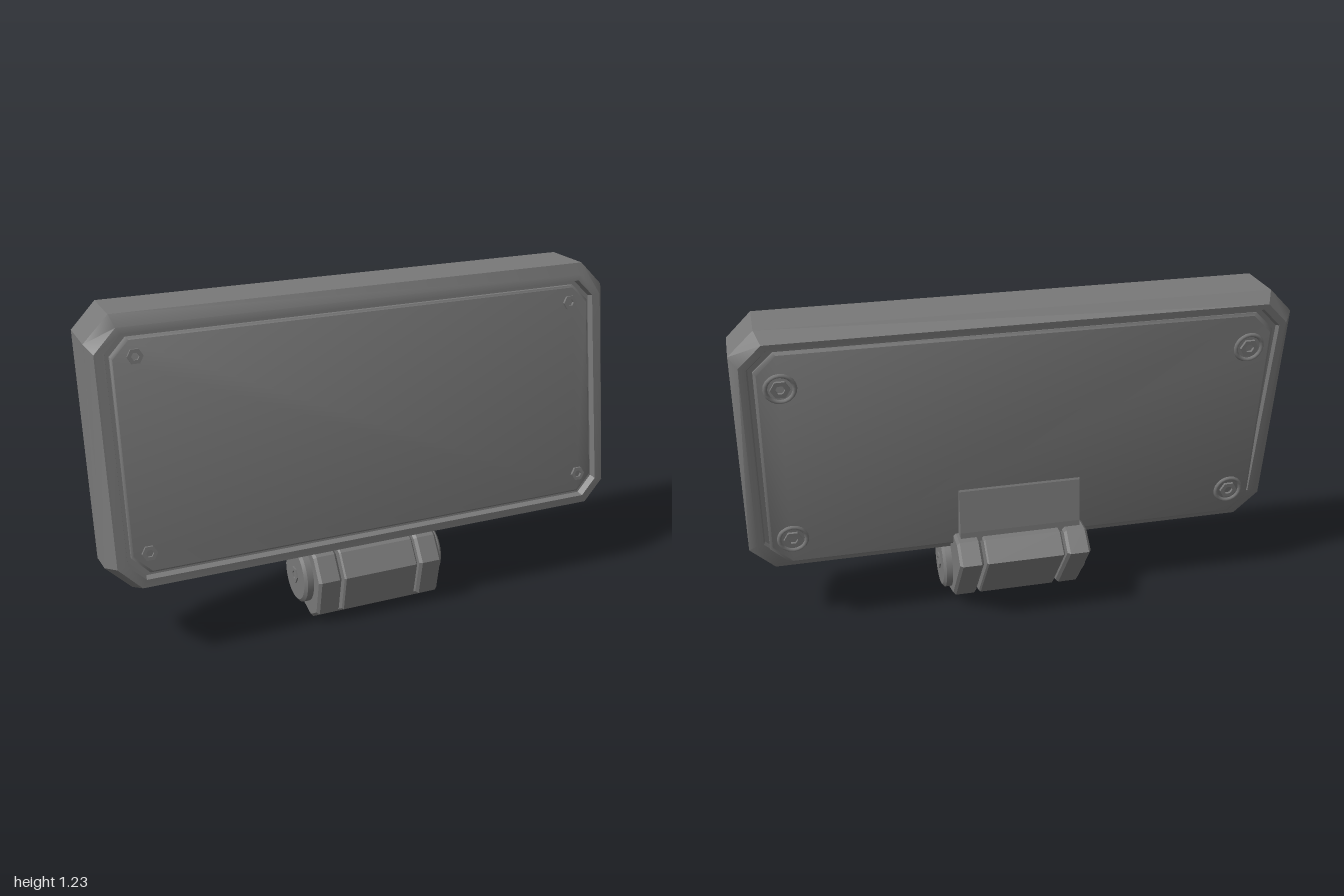
import * as THREE from 'three';
import { toCreasedNormals } from 'three/addons/utils/BufferGeometryUtils.js';

const darkGrey = new THREE.MeshStandardMaterial({ color: 0x787878 });
darkGrey.name = 'dark grey';

// Leaning front face and back plate: z as a function of height
const frontZ = (y) => 0.2 - 0.15 * (y - 0.36);
const backZ = (y) => -0.07 - 0.122 * (y - 0.29);

// Cut-corner rectangle, anticlockwise from the front; z runs from bottom to top
function ring(hw, yb, zb, yt, zt, cut) {
  const z = (y) => zb + ((zt - zb) * (y - yb)) / (yt - yb);
  return [
    [hw - cut, yb], [hw, yb + cut], [hw, yt - cut], [hw - cut, yt],
    [cut - hw, yt], [-hw, yt - cut], [-hw, yb + cut], [cut - hw, yb],
  ].map(([x, y]) => new THREE.Vector3(x, y, z(y)));
}

// Closed skin over rings listed from front to back
function loft(rings) {
  const pts = [];
  const n = rings[0].length;
  const first = rings[0], last = rings[rings.length - 1];
  for (let i = 0; i < rings.length - 1; i++) {
    for (let j = 0; j < n; j++) {
      const k = (j + 1) % n;
      const a = rings[i][j], b = rings[i][k], c = rings[i + 1][k], d = rings[i + 1][j];
      pts.push(a, d, c, a, c, b);
    }
  }
  for (let j = 1; j < n - 1; j++) {
    pts.push(first[0], first[j], first[j + 1], last[0], last[j + 1], last[j]);
  }
  const geo = new THREE.BufferGeometry().setFromPoints(pts);
  geo.computeVertexNormals();
  return toCreasedNormals(geo, 0.6);
}

function add(parent, name, geo) {
  const mesh = new THREE.Mesh(geo, darkGrey);
  mesh.name = name;
  parent.add(mesh);
  return mesh;
}

// Side profile of [z, y] points, extruded along x and centred on x
function profile(points, width, x, bevel = 0) {
  const shape = new THREE.Shape(points.map(([z, y]) => new THREE.Vector2(z, y)));
  const depth = width - 2 * bevel;
  const geo = new THREE.ExtrudeGeometry(shape, {
    depth, bevelEnabled: bevel > 0, bevelSize: bevel, bevelThickness: bevel,
    bevelOffset: -bevel, bevelSegments: 1,
  });
  return geo.translate(0, 0, -depth / 2).rotateY(-Math.PI / 2).translate(x, 0, 0);
}

// Hexagonal socket screw facing +z, with an optional round collar
function screw(name, r, height, collar) {
  const g = new THREE.Group();
  g.name = name;
  const outline = new THREE.Shape();
  const hole = new THREE.Path();
  for (let i = 0; i < 6; i++) {
    const a = (i * Math.PI) / 3;
    const step = i ? 'lineTo' : 'moveTo';
    outline[step](r * Math.cos(a), r * Math.sin(a));
    hole[step](r * 0.5 * Math.cos(a), r * 0.5 * Math.sin(a));
  }
  outline.holes.push(hole);
  add(g, 'screwHead', new THREE.ExtrudeGeometry(outline, { depth: height, bevelEnabled: false }));
  if (collar) add(g, 'screwCollar', new THREE.TorusGeometry(collar, 0.008, 6, 20));
  return g;
}

export function createModel() {
  const model = new THREE.Group();
  model.name = 'tiltingPanel';

  // Chamfered frame, thicker at the top, with a groove around the front
  add(model, 'frame', loft([
    ring(0.935, 0.335, frontZ(0.335) - 0.025, 1.165, frontZ(1.165) - 0.025, 0.06),
    ring(0.94, 0.33, frontZ(0.33), 1.17, frontZ(1.17), 0.06),
    ring(0.975, 0.3, 0.203, 1.19, 0.075, 0.08),
    ring(1, 0.258, 0.1, 1.23, 0.045, 0.09),
    ring(1, 0.245, -0.005, 1.23, -0.15, 0.09),
    ring(0.97, 0.28, -0.025, 1.19, -0.19, 0.08),
    ring(0.945, 0.295, -0.03, 1.17, -0.186, 0.07),
    ring(0.94, 0.3, -0.015, 1.165, -0.165, 0.07),
  ]));

  // Front plate inside the groove
  const plateRing = (hw, yb, yt, off) =>
    ring(hw, yb, frontZ(yb) + off, yt, frontZ(yt) + off, 0.06);
  add(model, 'frontPlate', loft([
    plateRing(0.915, 0.355, 1.145, -0.006),
    plateRing(0.922, 0.348, 1.152, -0.012),
    plateRing(0.922, 0.348, 1.152, -0.04),
  ]));

  // Back plate, standing proud towards the bottom
  add(model, 'backPlate', loft([
    ring(0.925, 0.29, 0, 1.155, -0.14, 0.07),
    ring(0.925, 0.29, backZ(0.29) + 0.008, 1.155, backZ(1.155) + 0.008, 0.07),
    ring(0.915, 0.3, backZ(0.3), 1.145, backZ(1.145), 0.07),
  ]));

  // Corner screws on both faces
  for (const s of [-1, 1]) {
    for (const [x, y] of [[0.84, 1.09], [0.86, 0.42]]) {
      const front = screw('frontScrew', 0.028, 0.012);
      front.position.set(s * x, y, frontZ(y) - 0.008);
      front.rotation.x = -0.149;
      model.add(front);
    }
    for (const y of [1.02, 0.4]) {
      const back = screw('backScrew', 0.034, 0.01, 0.05);
      back.position.set(s * 0.84, y, backZ(y));
      back.rotation.x = Math.PI - 0.122;
      model.add(back);
    }
  }

  // Hinge: a centre block between two knuckles
  const hinge = new THREE.Group();
  hinge.name = 'hinge';
  model.add(hinge);
  const side = [
    [0.22, 0.183], [0.19, 0.04], [0.125, 0], [-0.05, 0.05], [-0.22, 0.275],
    [-0.15, 0.338], [-0.06, 0.338], [0, 0.29], [0.135, 0.28], [0.165, 0.265],
  ];
  add(hinge, 'hingeCentre', profile(side, 0.298, 0, 0.006));
  for (const s of [-1, 1]) {
    add(hinge, 'hingeKnuckle', profile(side, 0.09, s * 0.205, 0.01));

    // Pivot cap with a bevelled rim and a screw
    const cap = new THREE.Group();
    cap.name = 'pivotCap';
    cap.position.set(s * 0.25, 0.153, 0.055);
    cap.rotation.y = (s * Math.PI) / 2;
    const rim = [[0, -0.02], [0.107, -0.02], [0.107, 0.024], [0.095, 0.034], [0, 0.034]];
    const disc = new THREE.LatheGeometry(rim.map(([r, h]) => new THREE.Vector2(r, h)), 28);
    add(cap, 'pivotDisc', toCreasedNormals(disc.rotateX(Math.PI / 2), 0.5));
    const bolt = screw('pivotScrew', 0.032, 0.006);
    bolt.position.z = 0.033;
    cap.add(bolt);
    hinge.add(cap);
  }

  // Tab joining the hinge to the back plate
  const tab = [[-0.06, 0.3], [-0.12, 0.32], [-0.12, 0.36], [-0.103, 0.525], [-0.098, 0.535], [-0.08, 0.535]];
  add(hinge, 'mountingTab', profile(tab, 0.46, 0));

  return model;
}
